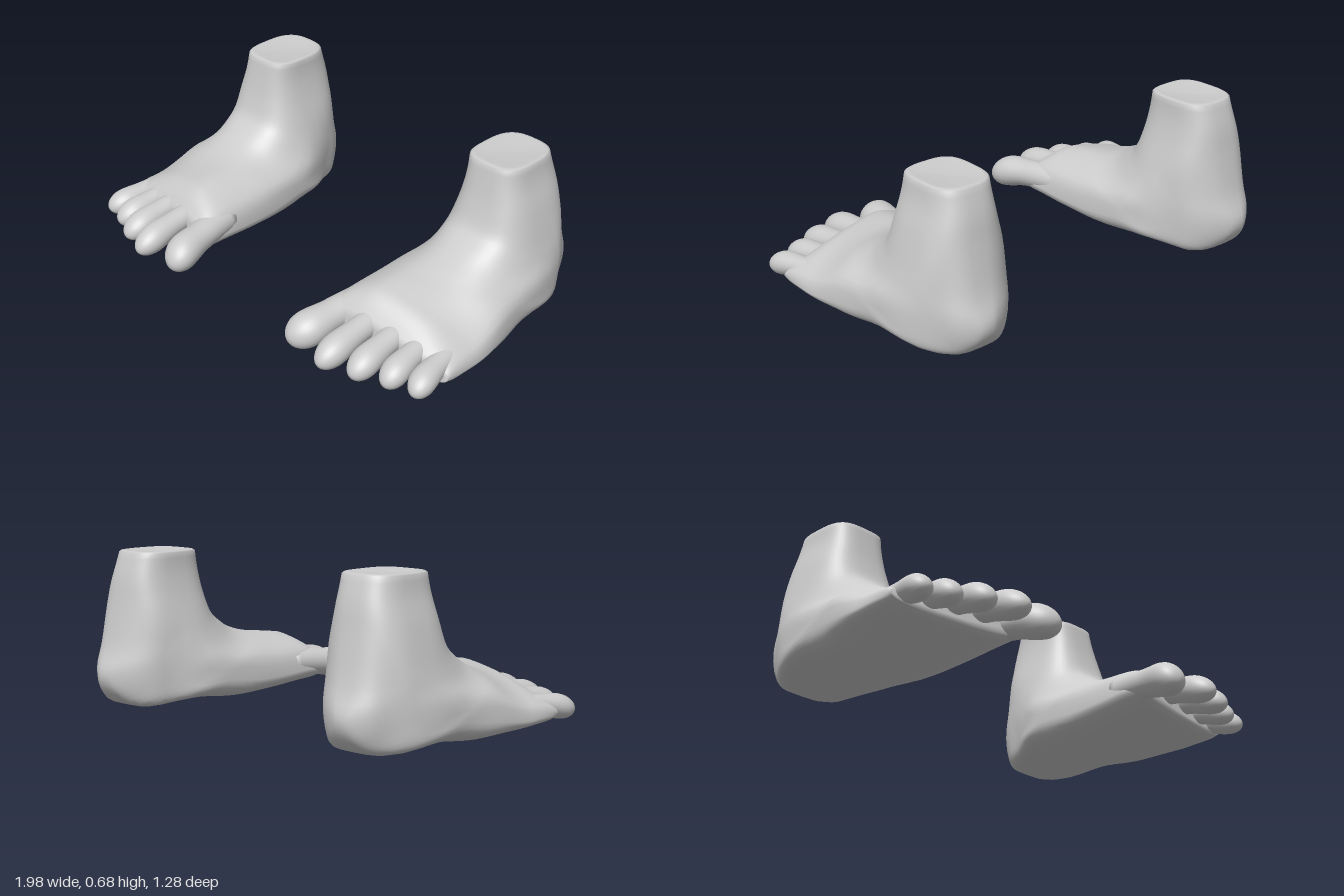
import * as THREE from 'three';

const SEG = 48;
const material = new THREE.MeshStandardMaterial({ color: 0xcccccc, side: THREE.DoubleSide });

// smooth interpolation through rows of [key, value, value...]
function table(rows) {
  const n = rows[0].length - 1;
  const it = new THREE.CubicInterpolant(rows.map(r => r[0]), rows.flatMap(r => r.slice(1)), n, new Float64Array(n));
  return k => it.evaluate(k);
}

// skin a list of closed rings; side = -1 mirrors across x
function loft(name, rings, side) {
  const n = rings[0].length, pos = [], idx = [];
  rings.forEach(r => r.forEach(p => pos.push(p[0] * side, p[1], p[2])));
  for (let i = 0; i < rings.length - 1; i++) {
    for (let j = 0; j < n; j++) {
      const a = i * n + j, b = i * n + (j + 1) % n, c = a + n, d = b + n;
      if (side > 0) idx.push(a, c, b, b, c, d);
      else idx.push(a, b, c, b, d, c);
    }
  }
  const g = new THREE.BufferGeometry();
  g.setAttribute('position', new THREE.Float32BufferAttribute(pos, 3));
  g.setIndex(idx);
  g.computeVertexNormals();
  const m = new THREE.Mesh(g, material);
  m.name = name;
  return m;
}

// foot outline from above: z -> inner x, outer x
const outline = table([
  [-0.65, 0.64, 0.77], [-0.6, 0.56, 0.83], [-0.52, 0.5, 0.86], [-0.42, 0.47, 0.905], [-0.3, 0.41, 0.935],
  [-0.15, 0.385, 0.945], [0, 0.37, 0.975], [0.2, 0.355, 1.0], [0.35, 0.35, 1.0], [0.42, 0.36, 0.99],
]);
// silhouette from the front: y -> inner x, outer x
const silhouette = table([
  [0, 0.42, 0.94], [0.08, 0.355, 1.0], [0.15, 0.37, 0.985], [0.2, 0.39, 0.95], [0.25, 0.425, 0.915],
  [0.32, 0.455, 0.89], [0.4, 0.48, 0.87], [0.5, 0.51, 0.845], [0.6, 0.53, 0.815], [0.7, 0.535, 0.8],
]);
// sections fanning from ankle to toe roots: instep z, y; heel/sole z, y; corner roundness at each end
const sections = [
  [-0.2, 0.675, -0.515, 0.675, 0.6, 0.7],
  [-0.185, 0.59, -0.545, 0.57, 0.6, 0.7],
  [-0.165, 0.5, -0.565, 0.45, 0.62, 0.7],
  [-0.13, 0.405, -0.6, 0.27, 0.65, 0.65],
  [-0.07, 0.355, -0.642, 0.15, 0.7, 0.6],
  [-0.01, 0.32, -0.605, 0.06, 0.75, 0.55],
  [0.05, 0.3, -0.515, 0.005, 0.75, 0.45],
  [0.11, 0.288, -0.3, 0.025, 0.75, 0.45],
  [0.17, 0.283, -0.08, 0.003, 0.75, 0.45],
  [0.23, 0.276, 0.1, 0.01, 0.75, 0.45],
  [0.29, 0.262, 0.25, 0.022, 0.75, 0.5],
  [0.34, 0.225, 0.36, 0.028, 0.75, 0.6],
  [0.385, 0.17, 0.4, 0.05, 0.8, 0.8],
];
const sectionAt = table(sections.map((r, i) => [i, ...r]));

const softMin = (a, b) => (a + b - Math.hypot(a - b, 0.02)) / 2;
const softMax = (a, b) => (a + b + Math.hypot(a - b, 0.02)) / 2;

function bodyRing(t, scale = 1, lift = 0) {
  const [zF, yF, zB, yB, pF, pB] = Array.from(sectionAt(t));
  const ring = [];
  for (let j = 0; j < SEG; j++) {
    const a = j / SEG * Math.PI * 2, c = Math.cos(a), s = Math.sin(a);
    const p = c > 0 ? pF : pB;
    const k = Math.sign(c) * Math.abs(c) ** p * scale;
    const w = Math.sign(s) * Math.abs(s) ** p * scale;
    let z = (zF + zB) / 2 + k * (zF - zB) / 2;
    let y = (yF + yB) / 2 + k * (yF - yB) / 2 + lift;
    const [oi, oo] = Array.from(outline(z)), [si, so] = Array.from(silhouette(y));
    const inner = softMax(oi, si), outer = softMin(oo, so);
    const x = (inner + outer) / 2 + w * (outer - inner) / 2;
    // the forefoot slopes down and back toward the little toe
    const fore = THREE.MathUtils.smoothstep(z, -0.05, 0.25);
    y *= 1 - 0.3 * fore * THREE.MathUtils.clamp((x - 0.55) / 0.4, 0, 1);
    z -= 0.1 * fore * (x - 0.6);
    ring.push([x, y, z]);
  }
  return ring;
}

function footBody(side) {
  const rings = [bodyRing(0, 0, -0.002), bodyRing(0, 0.6, 0), bodyRing(0, 0.85, 0.008), bodyRing(0, 0.95, 0.006)];
  const last = sections.length - 1;
  for (let t = 0; t <= last + 1e-6; t += 0.25) rings.push(bodyRing(t));
  rings.push(bodyRing(last, 0.7), bodyRing(last, 0));
  return loft('footAndAnkle', rings, side);
}

// toes: root x, y, z; tip x, y, z; half width, half height
const toes = [
  ['bigToe', 0.445, 0.135, 0.2, 0.378, 0.08, 0.615, 0.08, 0.074],
  ['secondToe', 0.57, 0.15, 0.2, 0.567, 0.078, 0.642, 0.064, 0.062],
  ['thirdToe', 0.69, 0.14, 0.2, 0.705, 0.075, 0.598, 0.063, 0.059],
  ['fourthToe', 0.795, 0.125, 0.18, 0.826, 0.07, 0.542, 0.06, 0.056],
  ['littleToe', 0.885, 0.105, 0.15, 0.942, 0.068, 0.505, 0.058, 0.053],
];

function toe([name, x0, y0, z0, x1, y1, z1, rx, ry], side) {
  const rings = [], steps = 24, n = 24;
  for (let i = 0; i <= steps; i++) {
    const s = Math.sin(i / steps * Math.PI / 2);
    // slim neck, full pad, rounded tip
    const pad = 0.86 + 0.14 * THREE.MathUtils.smoothstep(s, 0.5, 0.78);
    const r = i === 0 ? 0 : pad * Math.sqrt(Math.max(0, 1 - (Math.max(0, s - 0.78) / 0.22) ** 2));
    const cx = x0 + (x1 - x0) * s, cz = z0 + (z1 - z0) * s;
    const cy = y0 + (y1 - y0) * s + 0.012 * Math.sin(s * Math.PI);
    rings.push(Array.from({ length: n }, (_, j) => {
      const a = j / n * Math.PI * 2;
      return [cx + Math.sin(a) * rx * r, cy + Math.cos(a) * ry * r, cz];
    }));
  }
  return loft(name, rings, side);
}

export function createModel() {
  const model = new THREE.Group();
  model.name = 'pairOfFeet';
  for (const side of [1, -1]) {
    const foot = new THREE.Group();
    foot.name = side > 0 ? 'leftFoot' : 'rightFoot';
    foot.add(footBody(side), ...toes.map(t => toe(t, side)));
    model.add(foot);
  }
  return model;
}
